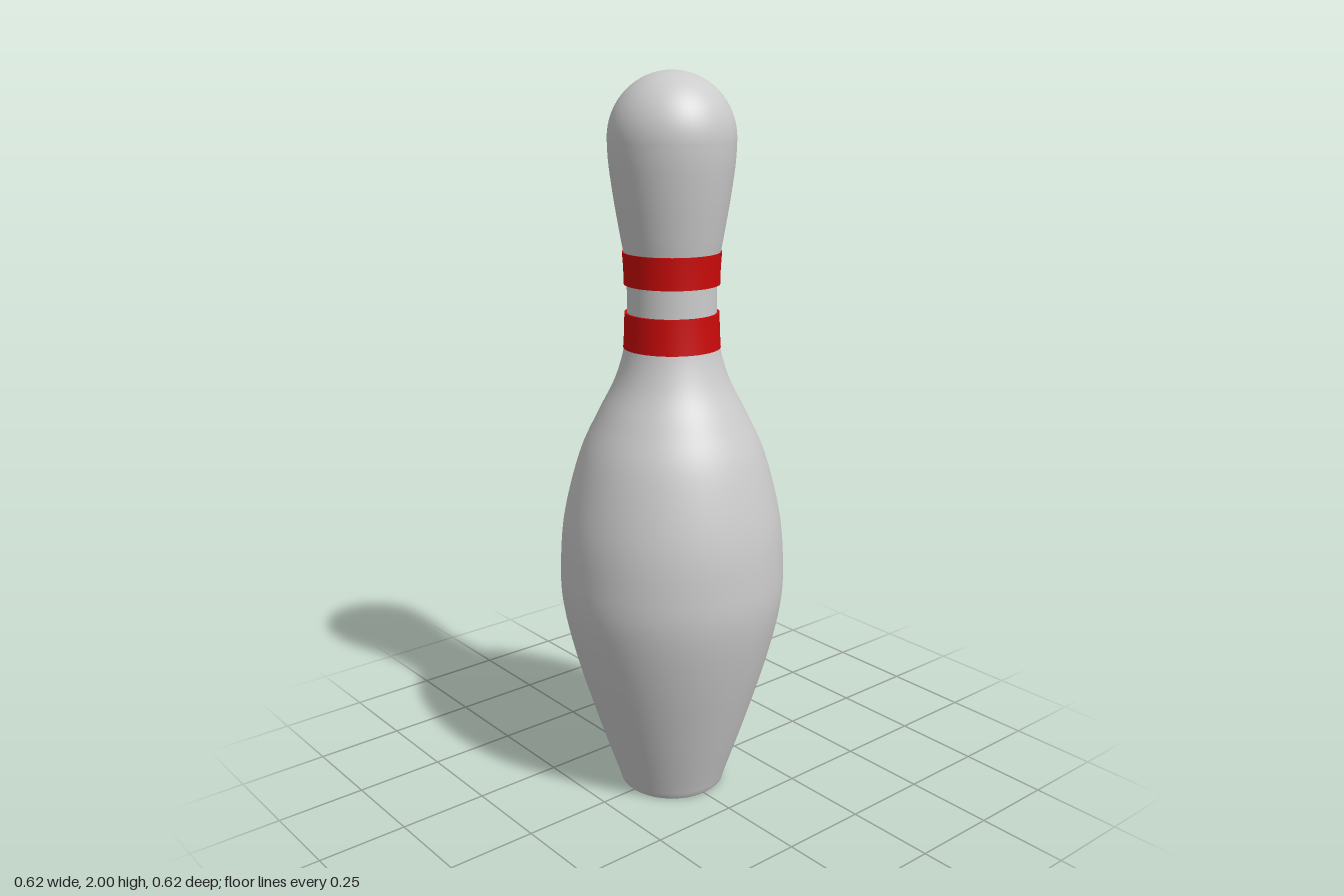
import * as THREE from 'three';
import { toCreasedNormals } from 'three/addons/utils/BufferGeometryUtils.js';

const SEGMENTS = 64;
const white = new THREE.MeshStandardMaterial({ color: 0xcccccc });
const red = new THREE.MeshStandardMaterial({ color: 0xcc0a0a });

function addMesh(group, name, geometry, material) {
  const mesh = new THREE.Mesh(geometry, material);
  mesh.name = name;
  group.add(mesh);
  return mesh;
}

const toPoints = (pairs) => pairs.map(([r, y]) => new THREE.Vector2(r, y));

// Belly, neck and head in one smooth profile, closed by an elliptical dome
function bodyProfile() {
  const side = new THREE.SplineCurve(toPoints([
    [0.152, 0.02], [0.212, 0.2], [0.272, 0.4], [0.307, 0.56], [0.311, 0.68],
    [0.298, 0.82], [0.254, 0.99], [0.204, 1.1], [0.158, 1.19], [0.132, 1.27],
    [0.122, 1.34], [0.120, 1.42], [0.122, 1.5], [0.136, 1.58], [0.153, 1.68],
    [0.165, 1.77], [0.168, 1.83],
  ])).getPoints(80);
  const dome = [];
  for (let i = 1; i <= 16; i++) {
    const a = (i / 16) * Math.PI / 2;
    dome.push(new THREE.Vector2(i === 16 ? 0 : 0.168 * Math.cos(a), 1.83 + 0.17 * Math.sin(a)));
  }
  return [...toPoints([[0.142, 0], [0.148, 0.006]]), ...side, ...dome];
}

// Raised stripe with thin lips reaching into the neck
function stripe(bottom, top, radiusBottom, radiusTop) {
  const profile = toPoints([
    [0.11, bottom], [radiusBottom, bottom],
    [(radiusBottom + radiusTop) / 2 - 0.001, (bottom + top) / 2],
    [radiusTop, top], [0.11, top],
  ]);
  return toCreasedNormals(new THREE.LatheGeometry(profile, SEGMENTS), 0.6);
}

export function createModel() {
  const pin = new THREE.Group();
  pin.name = 'bowlingPin';

  addMesh(pin, 'body', new THREE.LatheGeometry(bodyProfile(), SEGMENTS), white);

  // Flat underside
  const base = addMesh(pin, 'base', new THREE.CircleGeometry(0.142, SEGMENTS), white);
  base.rotation.x = Math.PI / 2;

  addMesh(pin, 'lowerStripe', stripe(1.285, 1.38, 0.131, 0.127), red);
  addMesh(pin, 'upperStripe', stripe(1.455, 1.54, 0.128, 0.132), red);

  return pin;
}
